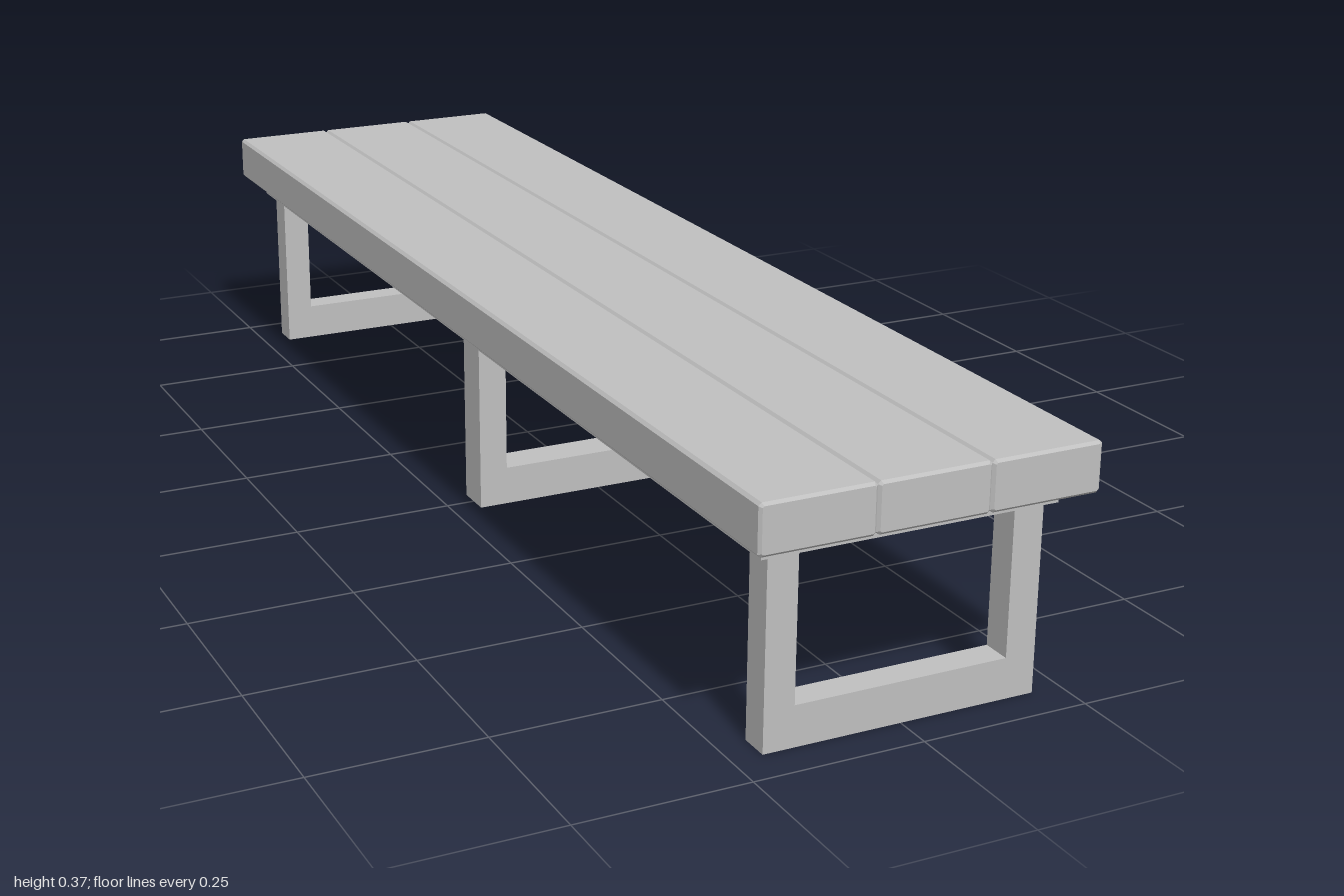
import * as THREE from 'three';

const LENGTH = 2, TOP = 0.372, SEAT = 0.3, FRAME = 0.275;

// Closed shape or hole from corner points
const points = (list) => list.map(([x, y]) => new THREE.Vector2(x, y));

const rectangle = (x0, y0, x1, y1) => points([[x0, y0], [x1, y0], [x1, y1], [x0, y1]]);

// Plank with small chamfers along every edge
function plankGeometry(width, height, length, c) {
  const x = width / 2 - c, y = height / 2 - c, k = c * 0.5;
  const shape = new THREE.Shape(points([
    [-x + k, -y], [x - k, -y], [x, -y + k], [x, y - k],
    [x - k, y], [-x + k, y], [-x, y - k], [-x, -y + k],
  ]));
  return new THREE.ExtrudeGeometry(shape, {
    depth: length - 2 * c, bevelEnabled: true, bevelSegments: 1, bevelSize: c, bevelThickness: c,
  }).translate(0, 0, -length / 2 + c);
}

export function createModel() {
  const bench = new THREE.Group();
  bench.name = 'bench';
  const grey = new THREE.MeshStandardMaterial({ color: 0xbfbfbf });
  grey.name = 'grey';

  const add = (name, geometry, x = 0, y = 0, z = 0) => {
    const mesh = new THREE.Mesh(geometry, grey);
    mesh.name = name;
    mesh.position.set(x, y, z);
    bench.add(mesh);
  };

  // Three planks side by side
  const width = 0.5 / 3;
  const plank = plankGeometry(width, TOP - SEAT, LENGTH, 0.004);
  for (const i of [-1, 0, 1]) add('seatPlank', plank, i * width, (TOP + SEAT) / 2, 0);

  // Flat frame under the planks, with two long openings
  const outline = new THREE.Shape(rectangle(-0.22, -0.953, 0.22, 0.953));
  for (const [a, b] of [[-0.88, -0.0475], [0.0475, 0.88]]) {
    outline.holes.push(new THREE.Path(rectangle(-0.1425, a, 0.1425, b)));
  }
  const frame = new THREE.ExtrudeGeometry(outline, { depth: SEAT - FRAME, bevelEnabled: false });
  add('supportFrame', frame.rotateX(-Math.PI / 2), 0, FRAME, 0);

  // U-shaped legs; the middle one is thicker
  const uShape = new THREE.Shape(points([
    [-0.205, 0], [0.205, 0], [0.205, FRAME], [0.16, FRAME],
    [0.16, 0.06], [-0.16, 0.06], [-0.16, FRAME], [-0.205, FRAME],
  ]));
  for (const [name, z, depth] of [['frontLeg', 0.92, 0.045], ['middleLeg', 0, 0.06], ['backLeg', -0.92, 0.045]]) {
    const leg = new THREE.ExtrudeGeometry(uShape, { depth, bevelEnabled: false });
    add(name, leg.translate(0, 0, -depth / 2), 0, 0, z);
  }
  return bench;
}
